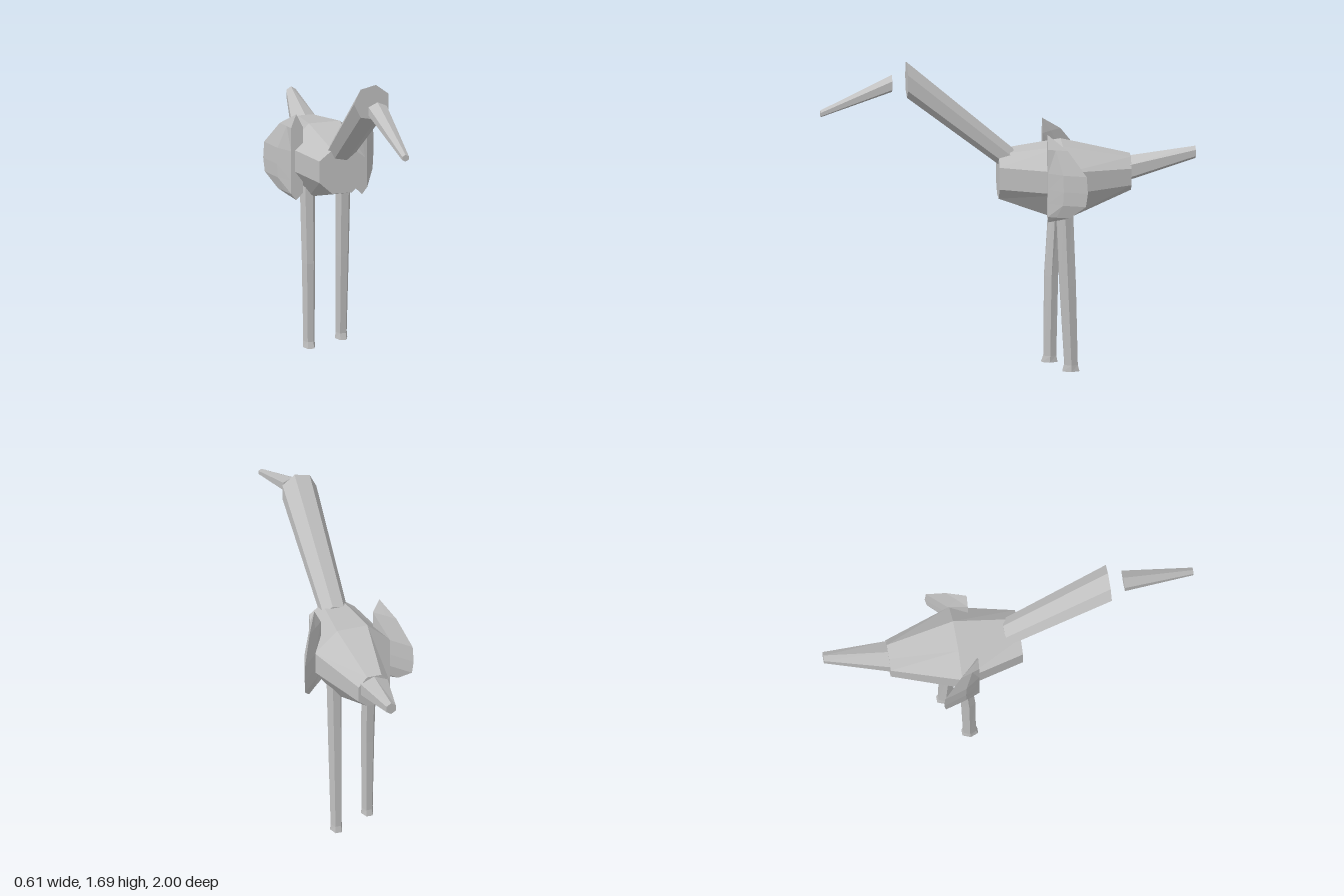
import * as THREE from 'three';

const grey = new THREE.MeshStandardMaterial({ color: 0xc0c0c0, flatShading: true });
grey.name = 'plain grey';

// Skin a list of equal-length rings into a closed, flat-shaded solid.
function loft(name, rings) {
  const tris = [];
  const n = rings[0].length;
  for (let r = 0; r < rings.length - 1; r++) {
    for (let i = 0; i < n; i++) {
      const j = (i + 1) % n, a = rings[r], b = rings[r + 1];
      tris.push([a[i], a[j], b[j]], [a[i], b[j], b[i]]);
    }
  }
  const first = rings[0], last = rings[rings.length - 1];
  for (let i = 1; i < n - 1; i++) {
    tris.push([first[0], first[i + 1], first[i]], [last[0], last[i], last[i + 1]]);
  }
  // Turn every face outward, whichever way the rings run.
  let volume = 0;
  for (const [a, b, c] of tris) volume += a.dot(b.clone().cross(c));
  if (volume < 0) tris.forEach((t) => t.reverse());

  const geometry = new THREE.BufferGeometry().setFromPoints(tris.flat());
  geometry.computeVertexNormals();
  const mesh = new THREE.Mesh(geometry, grey);
  mesh.name = name;
  return mesh;
}

const v = (x, y, z) => new THREE.Vector3(x, y, z);

// Regular polygon ring facing along z, squashed by rx and ry.
function ringZ(sides, x, y, z, rx, ry, start) {
  return Array.from({ length: sides }, (_, i) => {
    const a = start + (i / sides) * Math.PI * 2;
    return v(x + rx * Math.cos(a), y + ry * Math.sin(a), z);
  });
}

// Eight-sided body ring: side width, top width, and four heights.
function bodyRing(z, wide, narrow, top, upper, lower, bottom) {
  return [
    v(wide, upper, z), v(narrow, top, z), v(-narrow, top, z), v(-wide, upper, z),
    v(-wide, lower, z), v(-narrow, bottom, z), v(narrow, bottom, z), v(wide, lower, z),
  ];
}

// Six-sided leg from levels of [y, front z, back z, half width].
function leg(name, x, levels) {
  return loft(name, levels.map(([y, front, back, w]) =>
    Array.from({ length: 6 }, (_, i) => {
      const a = (i / 6) * Math.PI * 2;
      const depth = (front - back) / 2 / Math.sin(Math.PI / 3);
      return v(x + w * Math.cos(a), y, (front + back) / 2 + depth * Math.sin(a));
    })));
}

// Wing: a rounded blade, thick at the straight front edge and sharp behind.
function wing(name, side) {
  const levels = [[0.835, 0], [0.872, 0.55], [0.945, 0.95], [1.02, 1], [1.11, 0.97], [1.24, 0.5], [1.315, 0]];
  return loft(name, levels.map(([y, s]) => {
    const t = Math.min(1, s * 2);
    return [
      v(side * (0.182 - 0.037 * t), y, -0.2),
      v(side * (0.182 + 0.028 * t), y, -0.2),
      v(side * (0.182 + 0.083 * s), y, -0.2 - 0.08 * s),
      v(side * (0.182 + 0.123 * s), y, -0.2 - 0.205 * s),
      v(side * (0.182 + 0.028 * s), y, -0.2 - 0.1 * s),
    ];
  }));
}

export function createModel() {
  const model = new THREE.Group();
  model.name = 'longLeggedBird';

  const body = loft('body', [
    bodyRing(0.05, 0.127, 0.055, 1.182, 1.125, 1.005, 0.937),
    bodyRing(-0.29, 0.21, 0.085, 1.226, 1.11, 0.99, 0.818),
    bodyRing(-0.655, 0.087, 0.04, 1.15, 1.095, 1.005, 0.968),
  ]);

  // Seven-sided neck, widening to its open-air end
  const neck = loft('neck', [
    ringZ(7, 0.005, 1.13, -0.03, 0.075, 0.075, Math.PI),
    ringZ(7, 0.022, 1.595, 0.537, 0.1, 0.1, Math.PI),
  ]);

  // Six-sided beak and tail, both tapering to blunt tips
  const up = Math.PI / 2;
  const beak = loft('beak', [
    ringZ(6, 0.03, 1.575, 0.617, 0.058, 0.047, up),
    ringZ(6, 0.073, 1.427, 1, 0.021, 0.019, up),
  ]);
  const tail = loft('tail', [
    ringZ(6, 0, 1.078, -0.645, 0.088, 0.068, up),
    ringZ(6, 0.022, 1.164, -1, 0.03, 0.034, up),
  ]);

  // Legs stand slightly apart front to back, with a small flare at the foot
  const rightLeg = leg('rightLeg', -0.102, [
    [0.95, -0.235, -0.3, 0.042], [0.47, -0.205, -0.278, 0.037],
    [0.035, -0.202, -0.268, 0.031], [0, -0.19, -0.275, 0.034],
  ]);
  const leftLeg = leg('leftLeg', 0.104, [
    [0.95, -0.25, -0.338, 0.042], [0.47, -0.27, -0.356, 0.037],
    [0.035, -0.296, -0.366, 0.031], [0, -0.286, -0.375, 0.034],
  ]);

  model.add(body, neck, beak, tail, rightLeg, leftLeg, wing('leftWing', 1), wing('rightWing', -1));
  return model;
}
